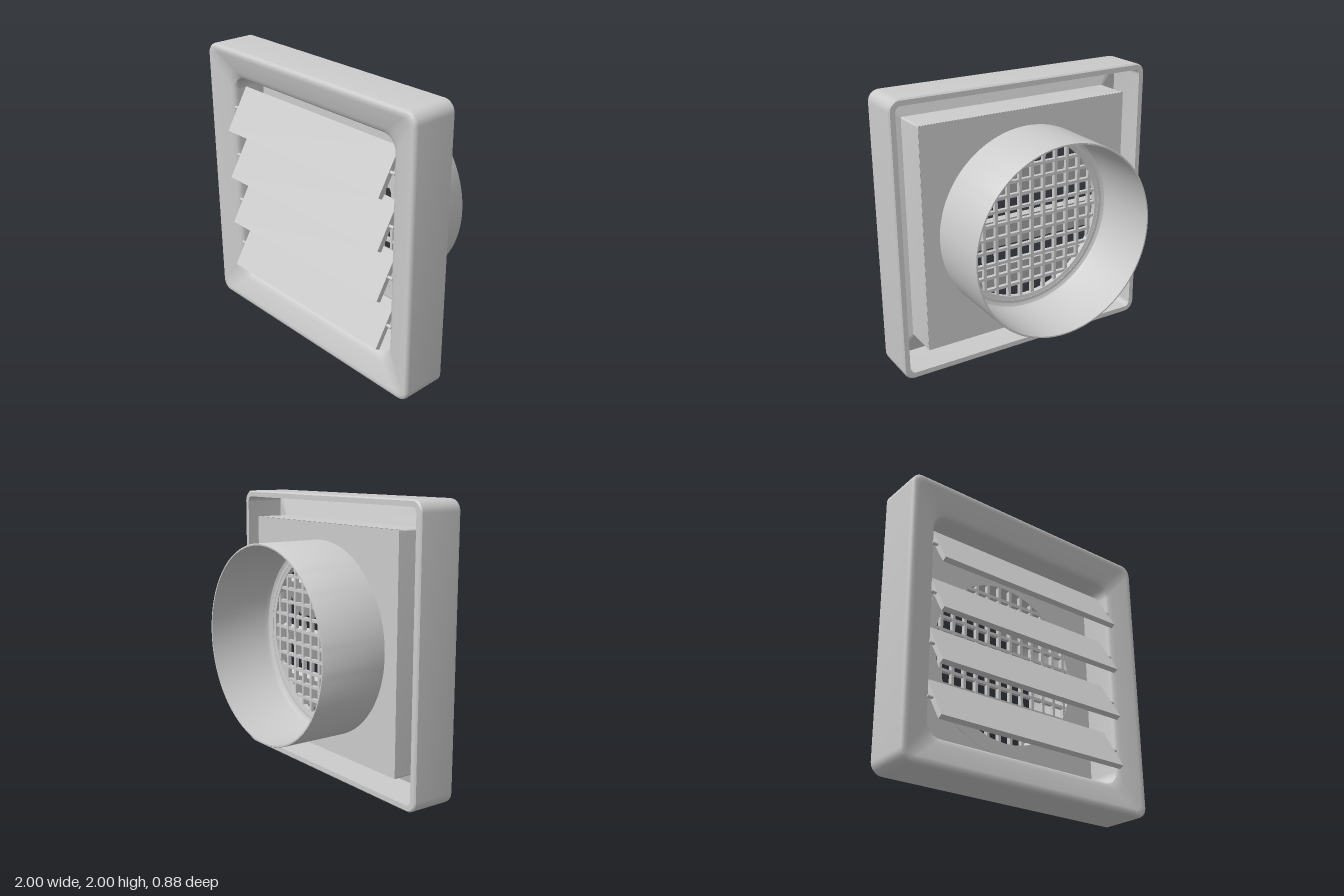
import * as THREE from 'three';
import { toCreasedNormals } from 'three/addons/utils/BufferGeometryUtils.js';

const material = new THREE.MeshStandardMaterial({ color: 0xcccccc });

function addMesh(parent, name, geometry, x = 0, y = 0, z = 0) {
  const mesh = new THREE.Mesh(geometry, material);
  mesh.name = name;
  mesh.position.set(x, y, z);
  parent.add(mesh);
  return mesh;
}

// Skin over rounded-square rings, each given as [half size, corner radius, z]
function loftSquares(rings, steps = 8) {
  const positions = [], index = [];
  const count = 4 * (steps + 1);
  for (const [half, radius, z] of rings) {
    for (let corner = 0; corner < 4; corner++) {
      const mid = Math.PI / 4 + corner * Math.PI / 2;
      const cx = Math.sign(Math.cos(mid)) * (half - radius);
      const cy = Math.sign(Math.sin(mid)) * (half - radius);
      for (let s = 0; s <= steps; s++) {
        const a = (corner + s / steps) * Math.PI / 2;
        positions.push(cx + radius * Math.cos(a), cy + radius * Math.sin(a), z);
      }
    }
  }
  for (let i = 0; i < rings.length - 1; i++) {
    for (let j = 0; j < count; j++) {
      const k = (j + 1) % count;
      const a = i * count + j, b = i * count + k;
      index.push(a, b, a + count, b, b + count, a + count);
    }
  }
  const geometry = new THREE.BufferGeometry();
  geometry.setAttribute('position', new THREE.Float32BufferAttribute(positions, 3));
  geometry.setIndex(index);
  return toCreasedNormals(geometry, 0.6);
}

export function createModel() {
  const model = new THREE.Group();
  model.name = 'louveredVent';

  // Hollow frame: outer wall, dished face, rounded lip, inner box, open back channel
  addMesh(model, 'frame', loftSquares([
    [0.955, 0.04, 0.06],
    [0.99, 0.07, 0.06],
    [1.0, 0.08, 0.07],
    [1.0, 0.08, 0.37],
    [0.997, 0.077, 0.386],
    [0.988, 0.07, 0.396],
    [0.972, 0.06, 0.4],
    [0.95, 0.06, 0.396],
    [0.83, 0.09, 0.356],
    [0.805, 0.1, 0.346],
    [0.788, 0.1, 0.333],
    [0.78, 0.1, 0.31],
    [0.78, 0.1, 0.08],
    [0.81, 0.01, 0.056],
    [0.81, 0.01, 0.31],
    [0.955, 0.04, 0.355],
    [0.955, 0.04, 0.06],
  ]), 0, 1, 0);

  // Back plate with a round hole
  const plate = new THREE.Shape();
  plate.moveTo(-0.808, -0.808).lineTo(0.808, -0.808).lineTo(0.808, 0.808).lineTo(-0.808, 0.808).closePath();
  plate.holes.push(new THREE.Path().absarc(0, 0, 0.62, 0, Math.PI * 2, true));
  const plateGeometry = new THREE.ExtrudeGeometry(plate, { depth: 0.04, bevelEnabled: false, curveSegments: 48 });
  addMesh(model, 'backPlate', toCreasedNormals(plateGeometry, 0.6), 0, 1, 0.055);

  // Duct spigot with an inward flange around the hole
  const profile = [
    [0.677, -0.44], [0.687, -0.44], [0.69, -0.435], [0.69, 0.097], [0.59, 0.097],
    [0.59, 0.06], [0.64, 0.055], [0.663, 0.043], [0.675, 0.015], [0.677, -0.44],
  ].map(([r, z]) => new THREE.Vector2(r, z));
  const duct = new THREE.LatheGeometry(profile, 96).rotateX(Math.PI / 2);
  addMesh(model, 'ductSpigot', toCreasedNormals(duct, 0.6), 0, 1, 0);

  // Square grille, bars cut to the round hole
  const grille = new THREE.Group();
  grille.name = 'grille';
  model.add(grille);
  const pitch = 0.098, bar = 0.022;
  for (let i = -6; i < 6; i++) {
    const x = (i + 0.5) * pitch;
    const length = 2 * Math.sqrt(0.6 ** 2 - x * x);
    addMesh(grille, 'verticalBar', new THREE.BoxGeometry(bar, length, 0.03), x, 1, 0.08);
  }
  for (let i = -5; i <= 5; i++) {
    const y = i * pitch;
    const length = 2 * Math.sqrt(0.6 ** 2 - y * y);
    addMesh(grille, 'horizontalBar', new THREE.BoxGeometry(length, bar, 0.028), 0, 1.003 + y, 0.08);
  }

  // Four tilted louvers on side pins
  for (let i = 0; i < 4; i++) {
    const louver = new THREE.Group();
    louver.name = 'louver';
    louver.position.set(0, 1.546 - i * 0.3617, 0.335);
    model.add(louver);
    addMesh(louver, 'slat', new THREE.BoxGeometry(1.51, 0.337, 0.037)).rotation.x = -0.535;
    for (const side of [-1, 1]) {
      const pin = new THREE.CylinderGeometry(0.011, 0.011, 0.06, 16).rotateZ(Math.PI / 2);
      addMesh(louver, 'pivotPin', pin, side * 0.765, 0.005, 0);
    }
  }
  return model;
}
